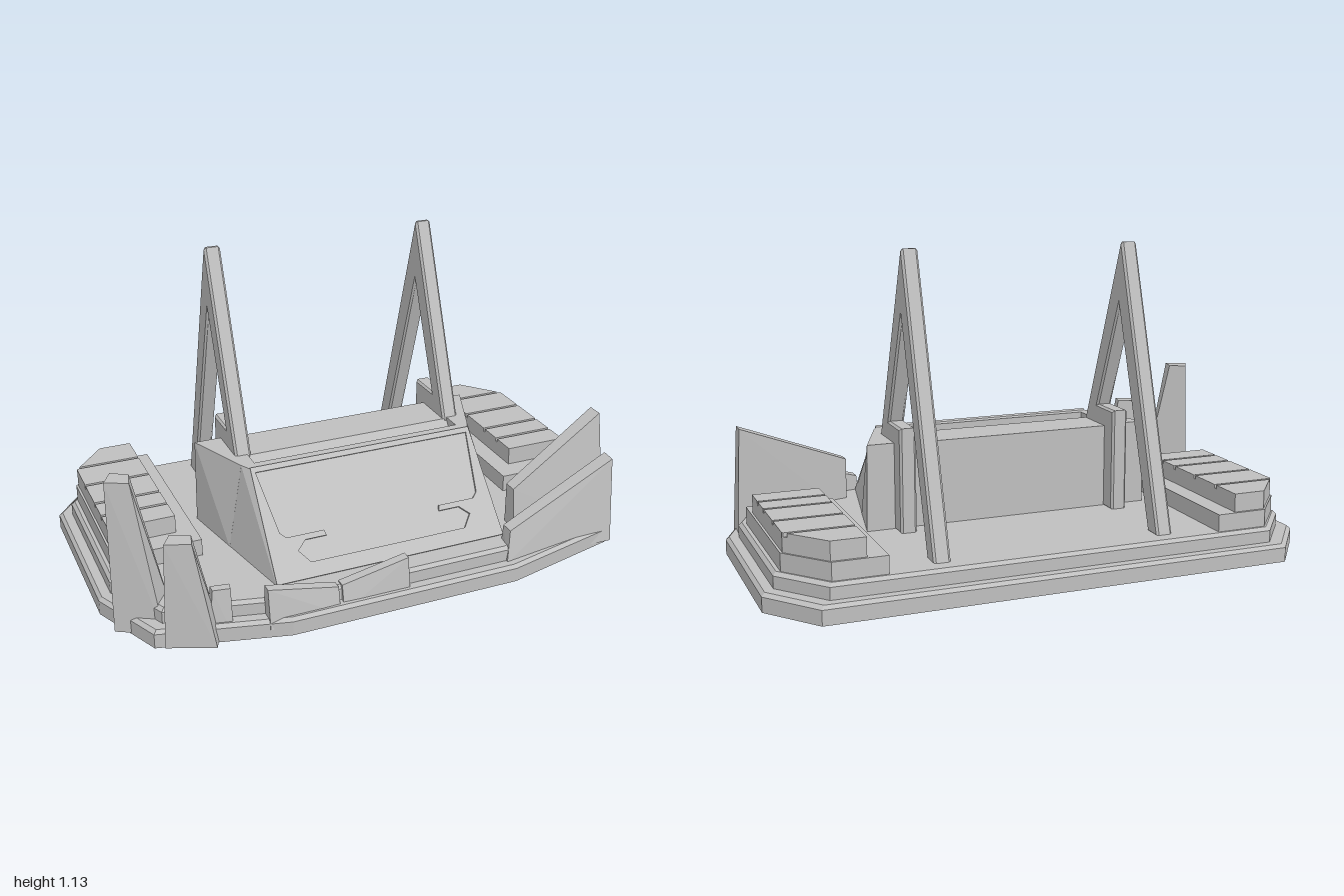
import * as THREE from 'three';
import { ConvexGeometry } from 'three/addons/geometries/ConvexGeometry.js';

const grey = new THREE.MeshStandardMaterial({ color: 0xbfbfbf });
grey.name = 'plain grey';

export function createModel() {
  const model = new THREE.Group();
  model.name = 'controlPlatform';

  function add(name, geometry) {
    const mesh = new THREE.Mesh(geometry, grey);
    mesh.name = name;
    model.add(mesh);
    return mesh;
  }
  // Faceted solid around a set of corners
  const hull = (name, pts) =>
    add(name, new ConvexGeometry(pts.map((p) => new THREE.Vector3(...p))));
  // Upright slab from a plan of [x, z] corners
  const slab = (name, plan, y0, y1) =>
    hull(name, [...plan.map(([x, z]) => [x, y0, z]), ...plan.map(([x, z]) => [x, y1, z])]);
  const toShape = (pts) => new THREE.Shape(pts.map((p) => new THREE.Vector2(...p)));
  // Profile of [z, y] corners extruded across x
  function across(name, pts, width, x, bevel = 0) {
    const depth = width - 2 * bevel;
    const geo = new THREE.ExtrudeGeometry(toShape(pts), {
      depth, bevelEnabled: bevel > 0, bevelSize: bevel,
      bevelThickness: bevel, bevelOffset: -bevel, bevelSegments: 1,
    });
    geo.translate(0, 0, -depth / 2);
    geo.rotateY(-Math.PI / 2);
    geo.translate(x, 0, 0);
    add(name, geo);
  }

  // Stepped base with chamfered rims
  const half = [[0.85, -0.61], [1, -0.42], [1, 0.23], [0.88, 0.5], [0.43, 0.61]];
  const outline = [...half, ...half.map(([x, z]) => [-x, z])];
  function tier(name, inset, y0, y1, chamfer) {
    const ring = (d, y) => outline.map(([x, z]) => [x * (1 - d), y, z * (1 - d / 0.61)]);
    hull(name, [...ring(inset, y0), ...ring(inset, y1 - chamfer), ...ring(inset + chamfer, y1)]);
  }
  tier('baseLower', 0, 0, 0.065, 0.012);
  tier('baseUpper', 0.045, 0.06, 0.12, 0.012);

  for (const s of [1, -1]) {
    // Side platforms with slatted tops
    const outer = (x, z) => (z < -0.39 ? x - (-0.39 - z) * 0.84 : x);
    const deck = (name, xi, xo, z0, z1, y0, y1) => {
      const zs = z0 < -0.39 && z1 > -0.39 ? [z0, -0.39, z1] : [z0, z1];
      const plan = [[xi * s, z0], [xi * s, z1], ...zs.map((z) => [outer(xo, z) * s, z])];
      slab(name, plan, y0, y1);
    };
    deck('sidePlatform', 0.61, 0.93, -0.545, 0.185, 0.115, 0.183);
    deck('sidePlatformTop', 0.68, 0.922, -0.535, 0.1, 0.18, 0.236);
    const cuts = [-0.535, -0.4, -0.25, -0.1, 0, 0.1];
    for (let i = 0; i < cuts.length - 1; i++) {
      deck('slat', 0.68, 0.922, cuts[i] + (i ? 0.006 : 0), cuts[i + 1] - (i < 4 ? 0.006 : 0), 0.23, 0.25);
    }

    // A-frame with its bracket against the console
    across('aFrame', [[-0.505, 0.115], [-0.43, 0.115], [-0.175, 0.905], [-0.01, 0.5],
      [-0.145, 0.5], [-0.145, 0.115], [0.09, 0.115], [0.095, 0.43], [-0.178, 1.13], [-0.19, 1.13]],
    0.06, 0.415 * s, 0.008);

    // Console cheeks
    hull('consoleCheek', [
      [0.4, 0.115, -0.075], [0.55, 0.115, -0.075], [0.4, 0.115, 0.166], [0.503, 0.115, 0.166],
      [0.4, 0.435, -0.075], [0.545, 0.435, -0.075], [0.4, 0.435, 0.166], [0.449, 0.435, 0.166],
    ].map(([x, y, z]) => [x * s, y, z]));
  }

  // Console body with a channel behind the front rim
  across('consoleBack', [[-0.075, 0.115], [0.165, 0.115], [0.165, 0.36], [0.14, 0.36],
    [0.09, 0.43], [-0.075, 0.43]], 0.8, 0);
  const front = [[0.503, 0.115, 0.165], [0.449, 0.435, 0.165], [0.43, 0.435, 0.203], [0.44, 0.115, 0.483]];
  hull('consoleFront', [...front, ...front.map(([x, y, z]) => [-x, y, z])]);

  // Raised surround of the sloping panel, notched at the lower corners
  const k = 0.421 / 0.315;
  const edge = [[0.415, 0.42], [0.385, 0.25], [0.365, 0.235], [0.225, 0.235], [0.22, 0.22],
    [0.3, 0.22], [0.335, 0.195], [0.3, 0.16]].map(([x, y]) => [x, (y - 0.12) * k]);
  const surround = toShape([[-0.44, 0], [0.44, 0], [0.43, 0.421], [-0.43, 0.421]]);
  const opening = [...edge, ...edge.map(([x, y]) => [-x, y]).reverse()];
  surround.holes.push(new THREE.Path(opening.map((p) => new THREE.Vector2(...p))));
  const panel = add('panelSurround',
    new THREE.ExtrudeGeometry(surround, { depth: 0.009, bevelEnabled: false }));
  panel.position.set(0, 0.12, 0.479);
  panel.rotation.x = -Math.atan2(0.28, 0.315);

  // Tall shards at the front right corner
  function shard(name, bottom, top, y) {
    hull(name, [...bottom.map(([x, z]) => [x, 0.005, z]), ...top.map(([x, z]) => [x, y, z])]);
  }
  shard('tallShard', [[-0.98, 0.36], [-0.935, 0.25], [-0.77, 0.36], [-0.83, 0.445]],
    [[-0.975, 0.35], [-0.94, 0.29], [-0.885, 0.325], [-0.9, 0.385]], 0.565);
  shard('shortShard', [[-0.85, 0.52], [-0.79, 0.425], [-0.65, 0.5], [-0.69, 0.585]],
    [[-0.835, 0.52], [-0.8, 0.465], [-0.735, 0.495], [-0.75, 0.55]], 0.395);
  shard('smallShard', [[-0.7, 0.53], [-0.69, 0.48], [-0.61, 0.5], [-0.62, 0.55]],
    [[-0.68, 0.52], [-0.68, 0.49], [-0.615, 0.5], [-0.62, 0.53]], 0.185);

  // Low broken barrier at the front
  const barrier = (name, z, ends) => hull(name, ends.flatMap(([x, y]) =>
    [[x, 0.03, z - 0.06], [x, 0.03, z], [x, y, z - 0.055], [x, y, z - 0.02]]));
  barrier('barrierRight', 0.595, [[-0.505, 0.175], [-0.25, 0.125]]);
  barrier('barrierLeft', 0.59, [[-0.235, 0.125], [0.015, 0.175]]);

  // Rising wing plates at the front left corner
  hull('rearWing', [
    [0.5, 0.06, 0.465], [0.5, 0.06, 0.39], [0.945, 0.005, 0.385], [0.95, 0.005, 0.265],
    [0.5, 0.275, 0.44], [0.5, 0.275, 0.39], [0.93, 0.455, 0.325], [0.93, 0.455, 0.265],
  ]);
  hull('frontWing', [
    [0.41, 0.06, 0.575], [0.42, 0.06, 0.5], [0.9, 0.005, 0.505], [0.92, 0.005, 0.4],
    [0.43, 0.175, 0.55], [0.43, 0.175, 0.5], [0.91, 0.327, 0.46], [0.915, 0.327, 0.4],
  ]);

  return model;
}
